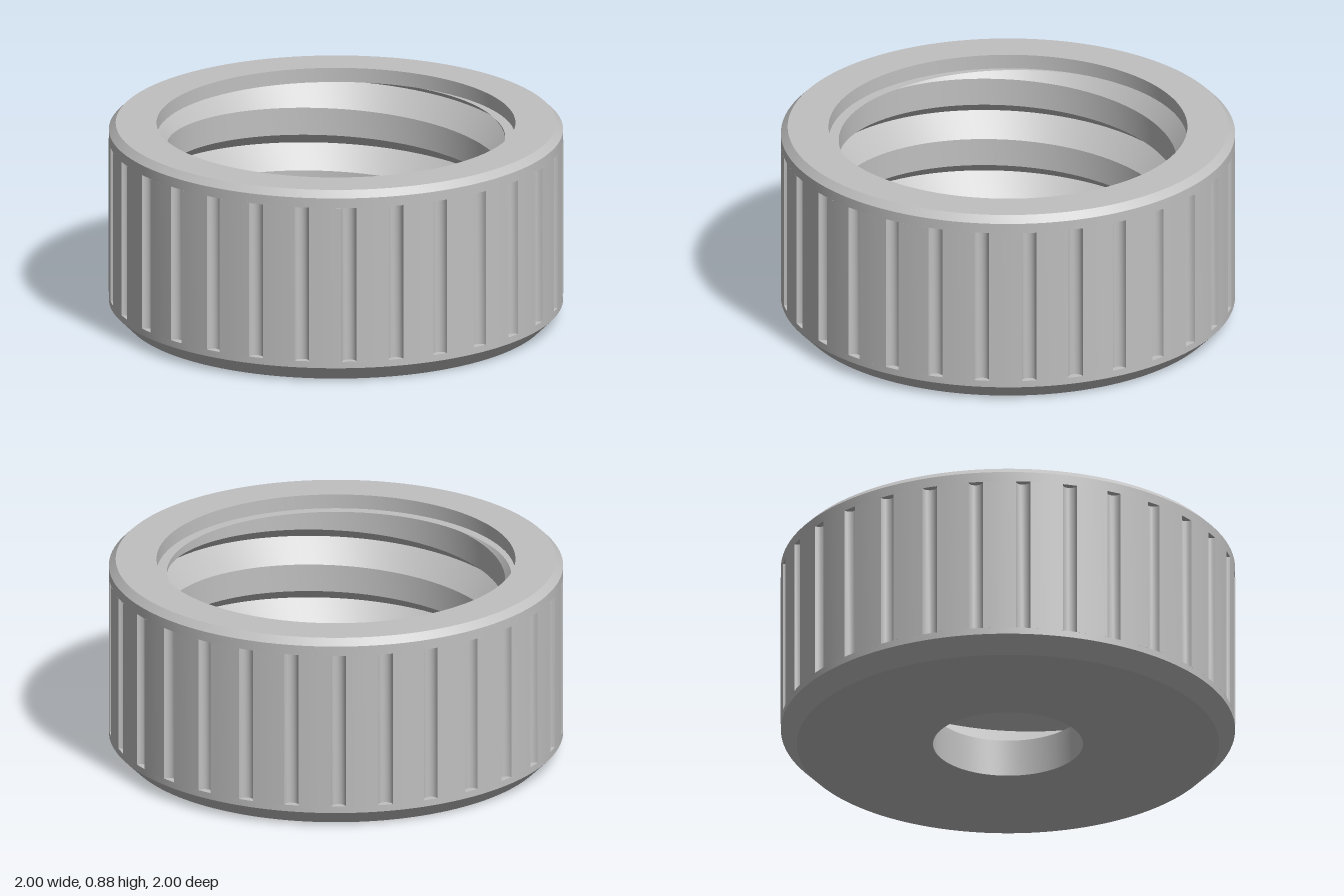
import * as THREE from 'three';
import { toCreasedNormals } from 'three/addons/utils/BufferGeometryUtils.js';

const SEGMENTS = 144;
const HEIGHT = 0.885, FLOOR = 0.17, LEDGE = 0.82;
const HOLE = 0.33, BORE = 0.745, MOUTH = 0.79;
const PITCH = 0.29, DEPTH = 0.08, FLANK = 0.105, GROOVE = 0.165;

function lathe(points) {
  const profile = points.map(([r, y]) => new THREE.Vector2(r, y));
  return toCreasedNormals(new THREE.LatheGeometry(profile, SEGMENTS), 0.4);
}

// Wall between two heights, with round vertical flutes cut all round
function flutedWall(bottom, top) {
  const count = 30, radius = 0.033, half = radius;
  const shape = new THREE.Shape();
  for (let i = 0; i < count; i++) {
    const a = (i / count) * Math.PI * 2;
    for (let j = 0; j <= 8; j++) {
      const t = (j / 8) * Math.PI;
      const x = 1 - radius * Math.sin(t), y = -radius * Math.cos(t);
      const px = x * Math.cos(a) - y * Math.sin(a), py = x * Math.sin(a) + y * Math.cos(a);
      if (i + j === 0) shape.moveTo(px, py);
      else shape.lineTo(px, py);
    }
    const land = (Math.PI * 2) / count - 2 * half;
    for (let j = 1; j < 5; j++) {
      const b = a + half + (land * j) / 5;
      shape.lineTo(Math.cos(b), Math.sin(b));
    }
  }
  shape.closePath();
  const hole = new THREE.Path();
  hole.absarc(0, 0, 0.93, 0, Math.PI * 2, true);
  shape.holes.push(hole);
  const geometry = new THREE.ExtrudeGeometry(shape, { depth: top - bottom, bevelEnabled: false, curveSegments: 48 });
  geometry.rotateX(-Math.PI / 2).translate(0, bottom, 0);
  return toCreasedNormals(geometry, 0.5);
}

// Cross-section of the threaded bore at one angle, from the mouth down to the floor
function boreSection(angle) {
  const crest = 0.745 + PITCH * (angle / (Math.PI * 2) - 0.375);
  const radiusAt = (y) => {
    const u = THREE.MathUtils.euclideanModulo(y - crest, PITCH);
    if (u < FLANK) return BORE + (DEPTH * u) / FLANK;
    if (u < GROOVE) return BORE + (DEPTH * (GROOVE - u)) / (GROOVE - FLANK);
    return BORE;
  };
  const section = [[MOUTH, HEIGHT], [MOUTH, LEDGE]];
  for (let k = 3; k >= -4; k--) {
    for (const offset of [GROOVE, FLANK, 0]) {
      const y = THREE.MathUtils.clamp(crest + k * PITCH + offset, FLOOR, LEDGE);
      section.push([radiusAt(y), y]);
    }
  }
  section.push([HOLE, FLOOR]);
  return section.map(([r, y]) => new THREE.Vector3(r * Math.cos(angle), y, -r * Math.sin(angle)));
}

// Helical thread, mouth recess and inner floor in one surface
function threadedBore() {
  const positions = [];
  const triangle = new THREE.Triangle();
  const add = (a, b, c) => {
    if (triangle.set(a, b, c).getArea() < 1e-8) return;
    for (const p of [a, b, c]) positions.push(p.x, p.y, p.z);
  };
  for (let i = 0; i < SEGMENTS; i++) {
    const here = boreSection((i / SEGMENTS) * Math.PI * 2);
    const next = boreSection(((i + 1) / SEGMENTS) * Math.PI * 2);
    for (let j = 0; j < here.length - 1; j++) {
      add(here[j], next[j], here[j + 1]);
      add(next[j], next[j + 1], here[j + 1]);
    }
  }
  const geometry = new THREE.BufferGeometry();
  geometry.setAttribute('position', new THREE.Float32BufferAttribute(positions, 3));
  geometry.computeVertexNormals();
  return toCreasedNormals(geometry, 0.4);
}

export function createModel() {
  const group = new THREE.Group();
  group.name = 'threadedCap';
  const grey = new THREE.MeshStandardMaterial({ color: 0xc0c0c0 });
  grey.name = 'grey';

  const add = (name, geometry) => {
    const mesh = new THREE.Mesh(geometry, grey);
    mesh.name = name;
    group.add(mesh);
  };

  // Base with centre hole and wide lower chamfer
  add('base', lathe([[HOLE, FLOOR], [HOLE, 0], [0.93, 0], [1, 0.07], [1, 0.1], [0.94, 0.1]]));
  // Grip band
  add('flutedWall', flutedWall(0.1, 0.81));
  // Rim with narrow upper chamfer
  add('rim', lathe([[0.94, 0.81], [1, 0.81], [1, 0.855], [0.97, HEIGHT], [MOUTH, HEIGHT]]));
  // Inside
  add('threadedBore', threadedBore());

  return group;
}
